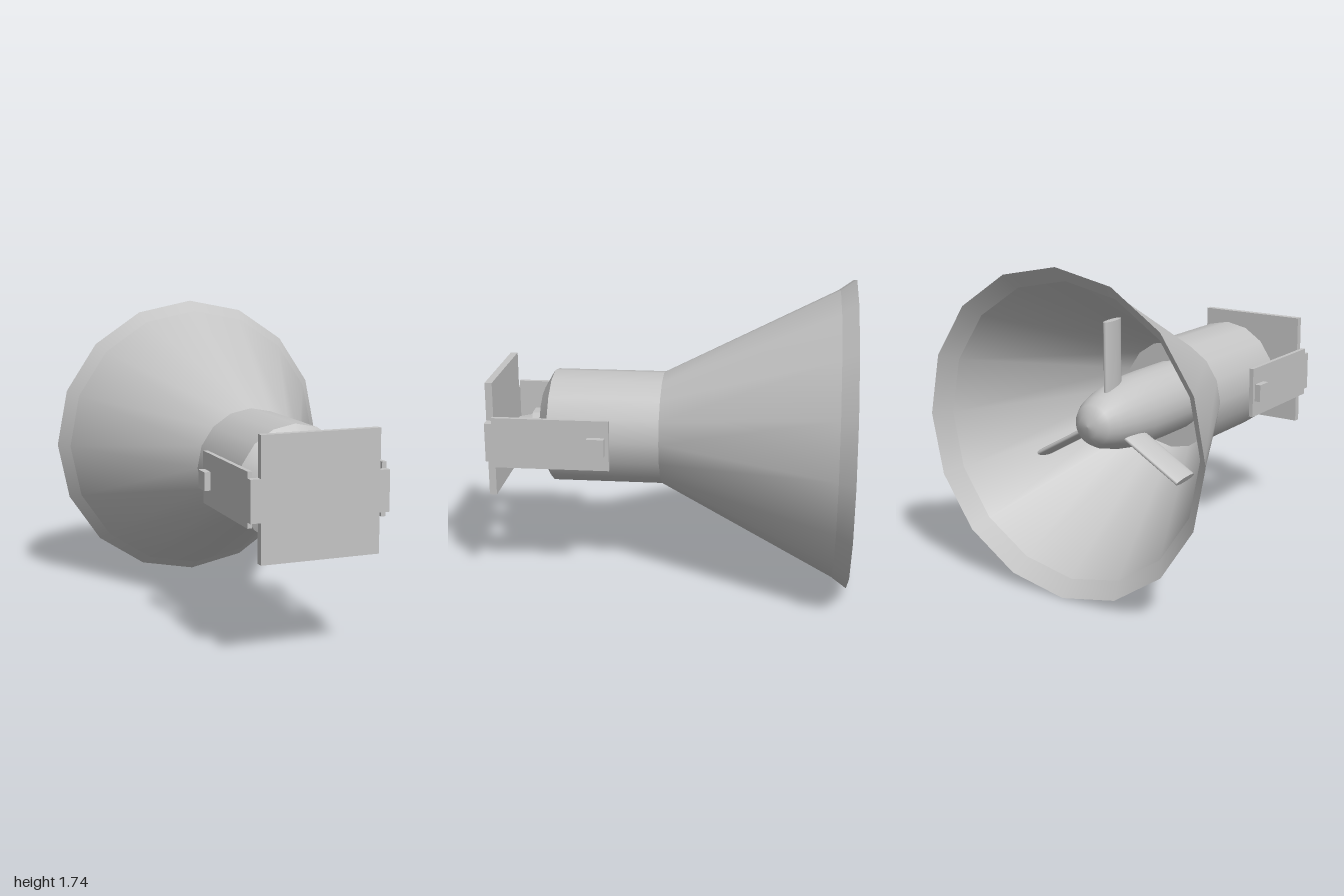
import * as THREE from 'three';

const AXIS_Y = 0.875;

export function createModel() {
  const model = new THREE.Group();
  const grey = new THREE.MeshStandardMaterial({ color: 0xc4c4c4 });
  grey.name = 'plain grey';

  const add = (name, geometry, parent = model) => {
    const mesh = new THREE.Mesh(geometry, grey);
    mesh.name = name;
    parent.add(mesh);
    return mesh;
  };
  // Surface of revolution around the z axis; points are [radius, z]
  const turned = (points, sides) =>
    new THREE.LatheGeometry(points.map(([r, z]) => new THREE.Vector2(r, z)), sides).rotateX(Math.PI / 2);
  const box = (name, w, h, d, x, y, z) =>
    add(name, new THREE.BoxGeometry(w, h, d)).position.set(x, y, z);

  // Everything turned sits on one horizontal axis
  const core = new THREE.Group();
  core.name = 'hornAssembly';
  core.position.y = AXIS_Y;
  model.add(core);

  // Housing: one band per profile segment keeps the edges between them sharp
  const profile = [
    ['hornFloor', 0, 0.04], ['hornInside', 0.31, 0.04], ['lipInside', 0.79, -0.92],
    ['lipOutside', 0.87, -1], ['hornOutside', 0.81, -0.915], ['barrel', 0.32, 0.05],
    ['barrelChamfer', 0.32, 0.67], ['barrelEnd', 0.215, 0.73], ['', 0, 0.73],
  ];
  for (let i = 0; i < profile.length - 1; i++) {
    const [name, r, z] = profile[i];
    const [, r2, z2] = profile[i + 1];
    add(name, turned([[r, z], [r2, z2]], 16), core);
  }

  // Rounded hub inside the horn
  add('hub', turned([
    [0, -0.76], [0.06, -0.75], [0.11, -0.715], [0.14, -0.66],
    [0.17, -0.55], [0.195, -0.4], [0.2, -0.2], [0.2, 0.04],
  ], 24), core);

  // Three slim blades, chord running nearly along the axis
  for (let i = 0; i < 3; i++) {
    const arm = new THREE.Group();
    arm.name = 'bladeArm';
    arm.rotation.z = i * Math.PI * 2 / 3;
    arm.position.z = -0.53;
    core.add(arm);
    const blade = add('blade', new THREE.CylinderGeometry(1, 1, 0.42, 16).scale(0.022, 1, 0.082), arm);
    blade.position.y = 0.32;
    blade.rotation.y = 0.08;
  }

  // Hexagonal cable gland and its tapered end
  const hex = (name, rFront, rBack, length, z) => {
    const g = new THREE.CylinderGeometry(rFront, rBack, length, 6).rotateY(Math.PI / 6)
      .rotateX(Math.PI / 2).rotateZ(Math.PI / 6).rotateZ(-Math.PI / 6).toNonIndexed();
    g.computeVertexNormals();
    // Put two corners on the horizontal
    g.rotateZ(Math.PI / 3);
    add(name, g, core).position.z = z;
  };
  hex('glandNut', 0.09, 0.09, 0.07, 0.765);
  hex('glandTip', 0.037, 0.055, 0.09, 0.845);

  // Mounting bracket: plate with side tabs, two arms and their bolts
  box('mountPlate', 0.65, 0.65, 0.04, 0, 0.878, 0.98);
  for (const side of [1, -1]) {
    box('plateTab', 0.055, 0.22, 0.04, side * 0.3525, 0.877, 0.98);
    box('bracketArm', 0.025, 0.285, 0.645, side * 0.3675, 0.878, 0.6375);
    box('pivotBolt', 0.06, 0.1, 0.095, side * 0.385, 0.875, 0.385);
  }
  return model;
}
